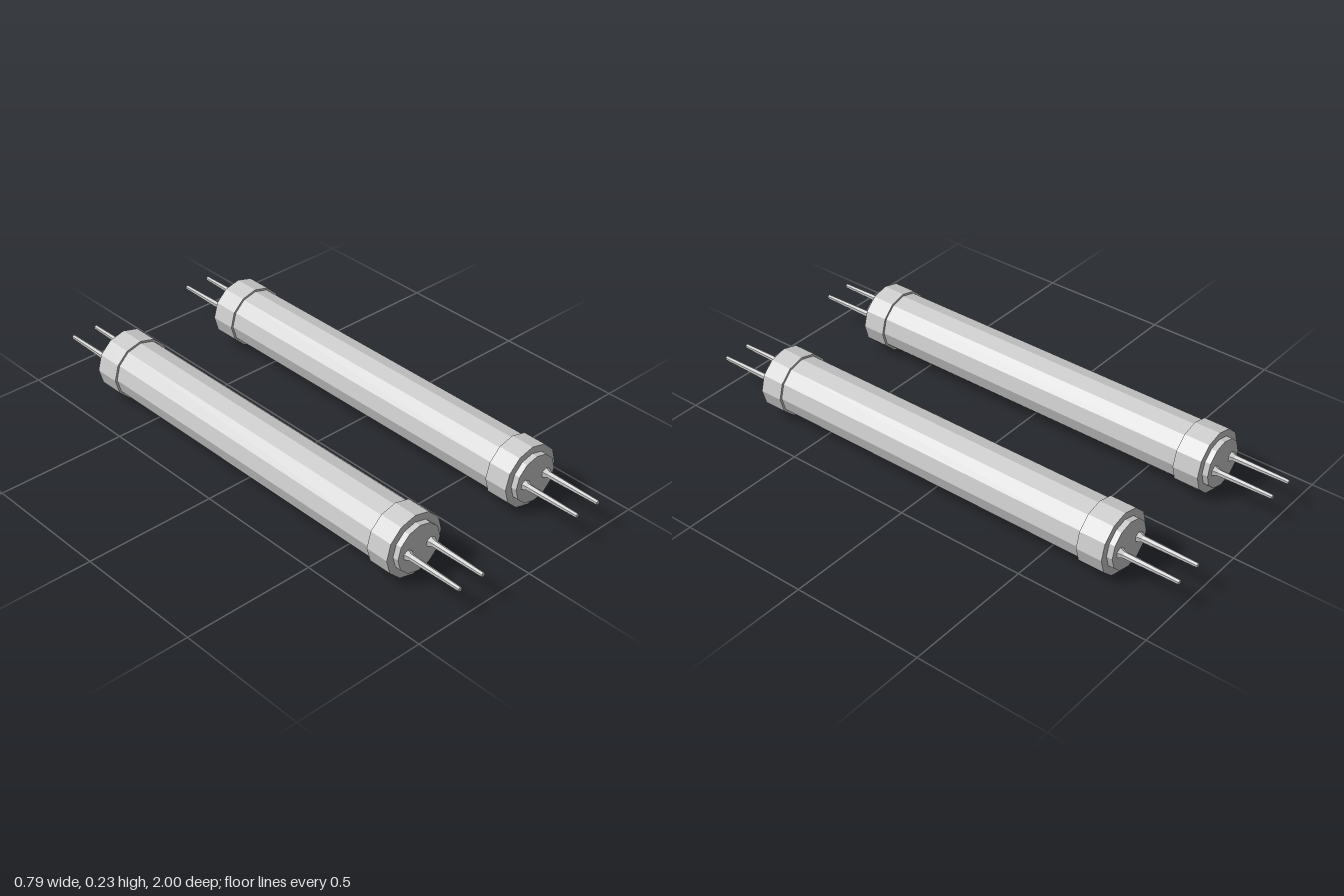
import * as THREE from 'three';

const material = new THREE.MeshStandardMaterial({ color: 0xcccccc, flatShading: true });
const CENTER_Y = 0.1175;
const SQUASH = 0.957; // tubes are slightly flattened

// Twelve-sided drum lying along z between z0 and z1
function drum(name, radius, z0, z1) {
  const geometry = new THREE.CylinderGeometry(radius, radius, z1 - z0, 12);
  geometry.rotateX(Math.PI / 2).scale(1, SQUASH, 1).translate(0, 0, (z0 + z1) / 2);
  const mesh = new THREE.Mesh(geometry, material);
  mesh.name = name;
  return mesh;
}

// Six-sided contact pin with a flared foot, pointing to +z
function pin(name, x) {
  const profile = [[0.0195, 0.765], [0.0195, 0.774], [0.0125, 0.79], [0.0085, 1], [0, 1]]
    .map(([r, z]) => new THREE.Vector2(r, z));
  const geometry = new THREE.LatheGeometry(profile, 6);
  geometry.rotateX(Math.PI / 2);
  const mesh = new THREE.Mesh(geometry, material);
  mesh.name = name;
  mesh.position.x = x;
  return mesh;
}

function createTube(name) {
  const tube = new THREE.Group();
  tube.name = name;
  tube.add(
    drum('tubeBody', 0.114, -0.7, 0.7),
    drum('frontCollar', 0.1225, 0.66, 0.75),
    drum('backCollar', 0.1225, -0.75, -0.65),
    drum('frontEndPlate', 0.0945, 0.74, 0.772),
    drum('backEndPlate', 0.0945, -0.772, -0.74)
  );
  // Two pins on each end
  for (const end of ['front', 'back']) {
    const pins = new THREE.Group();
    pins.name = end + 'Pins';
    pins.add(pin('leftPin', 0.0515), pin('rightPin', -0.0515));
    if (end === 'back') pins.rotation.y = Math.PI;
    tube.add(pins);
  }
  return tube;
}

export function createModel() {
  const model = new THREE.Group();
  model.name = 'tubePair';
  for (const side of [-1, 1]) {
    const tube = createTube(side > 0 ? 'leftTube' : 'rightTube');
    tube.position.set(side * 0.274, CENTER_Y, 0);
    model.add(tube);
  }
  return model;
}
